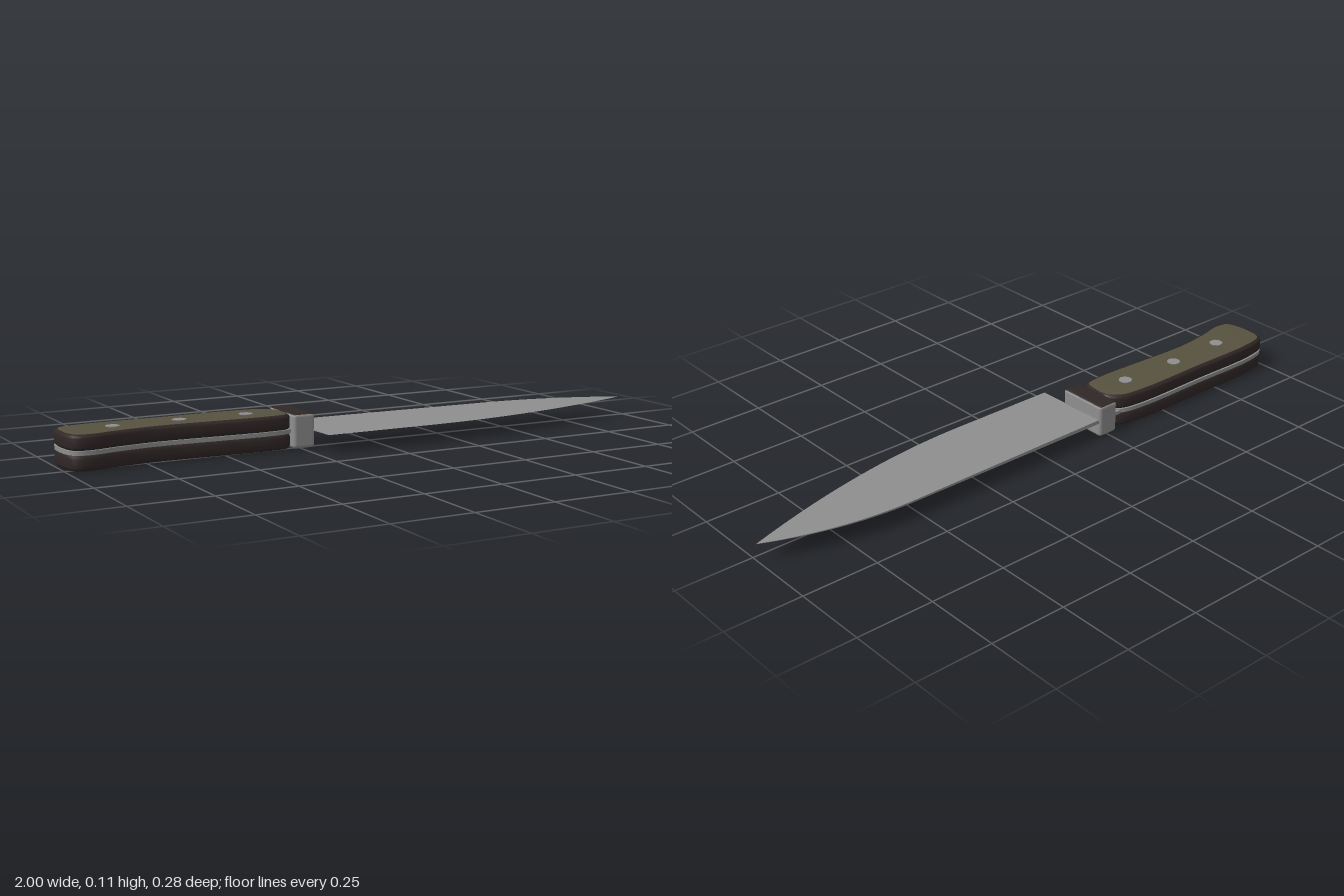
import * as THREE from 'three';
import { toCreasedNormals } from 'three/addons/utils/BufferGeometryUtils.js';
import { RoundedBoxGeometry } from 'three/addons/geometries/RoundedBoxGeometry.js';

const MID = 0.057; // height of the blade's centre plane

function material(name, color) {
  const m = new THREE.MeshStandardMaterial({ color });
  m.name = name;
  return m;
}

// Handle outline as [x, z]
const HANDLE = [
  [-1, -0.05], [-0.985, -0.115], [-0.92, -0.136], [-0.66, -0.138], [-0.4, -0.137],
  [-0.32, -0.122], [-0.282, -0.085], [-0.278, -0.02], [-0.293, 0.022], [-0.36, 0.034],
  [-0.52, 0.029], [-0.72, 0.021], [-0.85, 0.035], [-0.93, 0.05], [-0.982, 0.037],
];

// Slab with the handle outline, lying flat between two heights
function handleSlab(y0, y1, bevel) {
  const curve = new THREE.CatmullRomCurve3(
    HANDLE.map(([x, z]) => new THREE.Vector3(x, -z, 0)), true);
  const points = curve.getPoints(60).slice(0, -1).map(p => new THREE.Vector2(p.x, p.y));
  const geo = new THREE.ExtrudeGeometry(new THREE.Shape(points), {
    depth: y1 - y0 - 2 * bevel, bevelEnabled: bevel > 0, bevelThickness: bevel,
    bevelSize: bevel, bevelOffset: -bevel, bevelSegments: 3,
  });
  geo.rotateX(-Math.PI / 2);
  geo.translate(0, y0 + bevel, 0);
  return toCreasedNormals(geo, 0.6);
}

// Wedge blade: thick along the spine, tapering to the cutting edge and the tip
function bladeGeometry() {
  const tip = [1, -0.024], n = 32;
  const spine = new THREE.Path().moveTo(-0.215, -0.13).lineTo(0.54, -0.13)
    .quadraticCurveTo(0.78, -0.125, ...tip).getSpacedPoints(n);
  const edge = new THREE.Path().moveTo(-0.215, 0.135).lineTo(0.17, 0.135)
    .quadraticCurveTo(0.55, 0.13, ...tip).getSpacedPoints(n);
  const sections = spine.map((s, i) => {
    const half = 0.0065 * (1 - 0.9 * i / n);
    return {
      top: [s.x, MID + half, s.y],
      bottom: [s.x, MID - half, s.y],
      edge: [edge[i].x, MID, edge[i].y],
    };
  });
  const pos = [];
  const quad = (a, b, c, d) => pos.push(...a, ...b, ...c, ...a, ...c, ...d);
  for (let i = 0; i < n; i++) {
    const a = sections[i], b = sections[i + 1];
    quad(a.top, a.edge, b.edge, b.top);
    quad(a.bottom, b.bottom, b.edge, a.edge);
    quad(a.top, b.top, b.bottom, a.bottom);
  }
  const heel = sections[0];
  pos.push(...heel.top, ...heel.bottom, ...heel.edge);
  const geo = new THREE.BufferGeometry();
  geo.setAttribute('position', new THREE.Float32BufferAttribute(pos, 3));
  geo.computeVertexNormals();
  return toCreasedNormals(geo, 0.3);
}

export function createModel() {
  const steel = material('steel', 0x8e8e8e);
  const olive = material('olive wood', 0x57523f);
  const brown = material('dark brown wood', 0x302726);

  const knife = new THREE.Group();
  knife.name = 'kitchenKnife';
  const add = (name, geo, mat) => {
    const mesh = new THREE.Mesh(geo, mat);
    mesh.name = name;
    knife.add(mesh);
    return mesh;
  };

  add('blade', bladeGeometry(), steel);
  add('tang', handleSlab(0.0505, 0.0635, 0), steel);

  // Handle scales: only the upper face is olive
  add('upperScale', handleSlab(0.0625, 0.11, 0.011), [olive, brown]);
  add('lowerScale', handleSlab(0.003, 0.0515, 0.011), brown);

  // Bolster with a dark top
  add('bolster', new RoundedBoxGeometry(0.073, 0.108, 0.174, 3, 0.011),
    [steel, steel, brown, steel, steel, steel]).position.set(-0.247, MID, -0.05);

  // Tang joining handle, bolster and blade
  add('tangNeck', new THREE.BoxGeometry(0.1, 0.012, 0.14), steel).position.set(-0.26, MID, -0.055);

  // Rivets pass through both scales
  for (const [x, z] of [[-0.832, -0.05], [-0.62, -0.056], [-0.405, -0.048]]) {
    add('rivet', new THREE.CylinderGeometry(0.022, 0.022, 0.112, 10), steel)
      .position.set(x, 0.056, z);
  }
  return knife;
}
